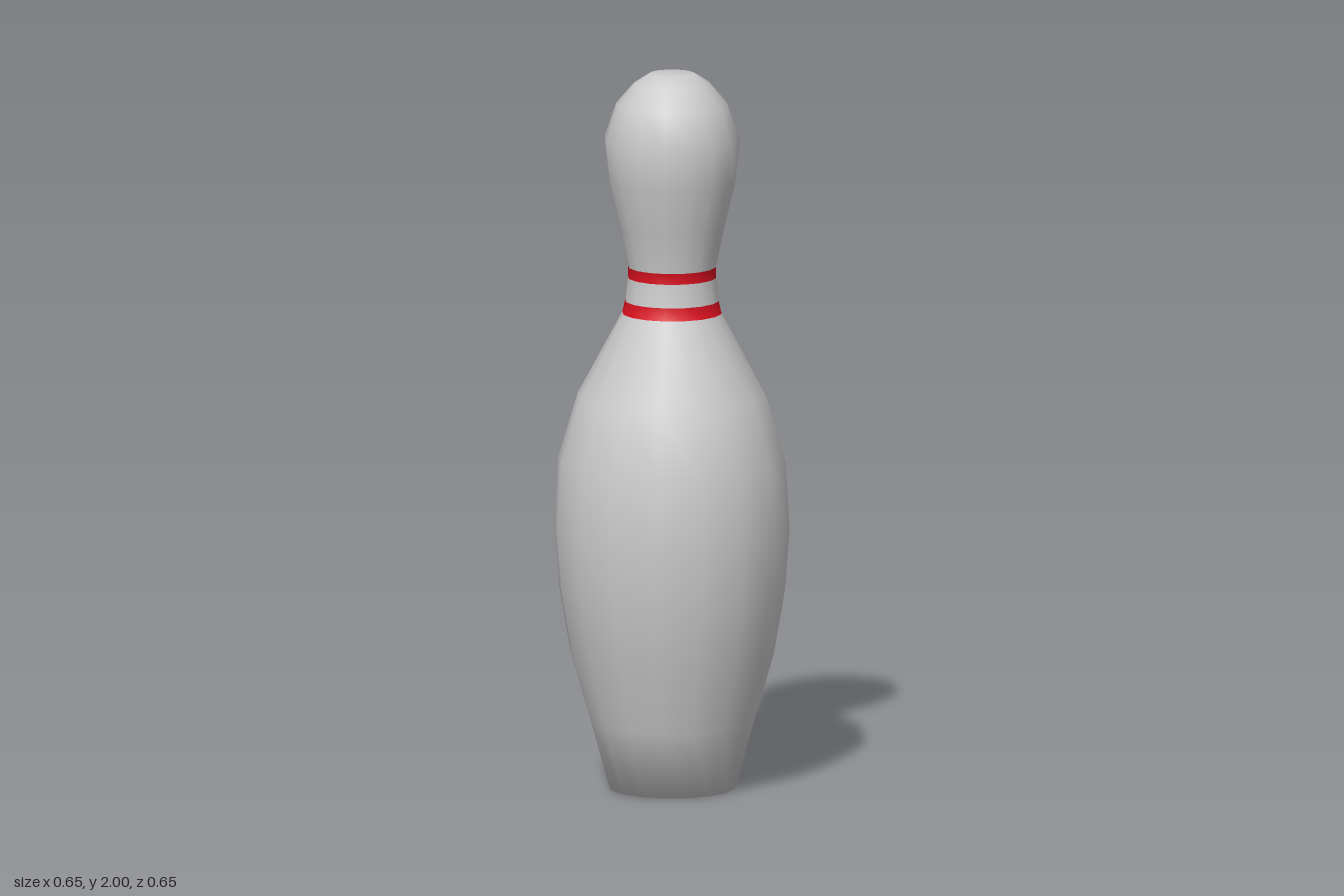
import * as THREE from 'three';

const SIDES = 16;

// Outline from the base centre to the crown: [radius, height]
const profile = [
  [0, 0], [0.175, 0], [0.228, 0.19], [0.283, 0.38], [0.314, 0.56], [0.327, 0.73],
  [0.316, 0.92], [0.262, 1.1], [0.138, 1.33],
  [0.13, 1.365], [0.123, 1.43],
  [0.122, 1.46], [0.145, 1.57], [0.176, 1.7], [0.188, 1.82], [0.155, 1.915],
  [0.105, 1.973], [0.063, 2], [0, 2],
].map(([r, y]) => new THREE.Vector2(r, y));

// Part name, first and last outline point, colour
const sections = [
  ['body', 0, 8, 0xcccccc],
  ['lowerStripe', 8, 9, 0xd8101f],
  ['neck', 9, 10, 0xcccccc],
  ['upperStripe', 10, 11, 0xd8101f],
  ['head', 11, 18, 0xcccccc],
];

// Cut a band out of the turned shape, keeping its smooth normals across the cuts
function band(whole, first, last) {
  const geometry = whole.clone();
  const n = profile.length;
  const index = [];
  for (let s = 0; s < SIDES; s++) {
    for (let p = first; p < last; p++) {
      const a = s * n + p;
      const b = a + n;
      index.push(a, b, a + 1, b + 1, a + 1, b);
    }
  }
  geometry.setIndex(index);
  return geometry;
}

export function createModel() {
  const group = new THREE.Group();
  group.name = 'bowlingPin';
  const whole = new THREE.LatheGeometry(profile, SIDES);
  for (const [name, first, last, color] of sections) {
    const mesh = new THREE.Mesh(band(whole, first, last), new THREE.MeshStandardMaterial({ color }));
    mesh.name = name;
    group.add(mesh);
  }
  return group;
}
